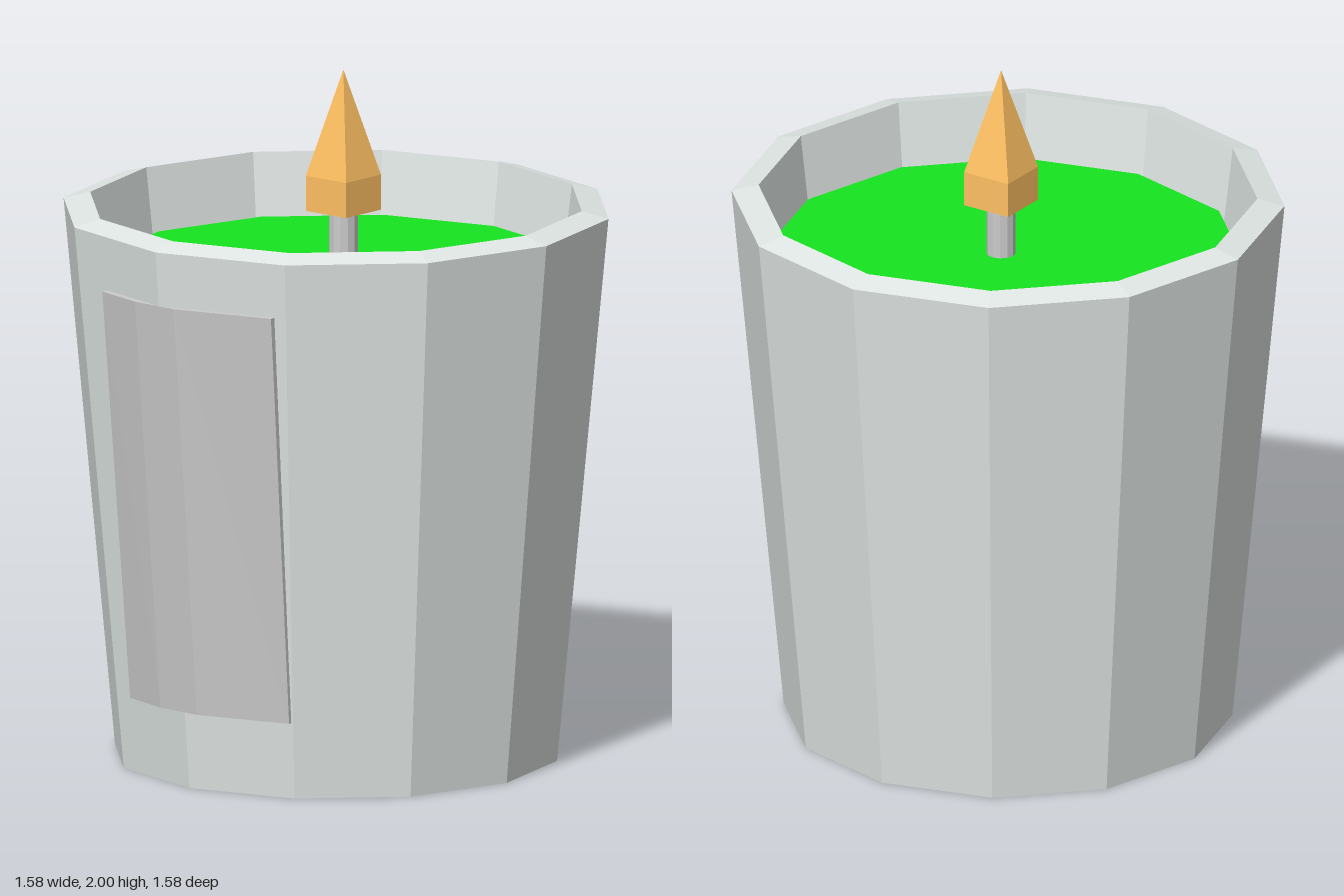
import * as THREE from 'three';

const TURN = -6.5 * Math.PI / 180; // shared twist of all faceted parts

function addPart(group, name, geometry, color, side = THREE.FrontSide) {
  const flat = geometry.index ? geometry.toNonIndexed() : geometry;
  flat.computeVertexNormals();
  const material = new THREE.MeshStandardMaterial({ color, side, flatShading: true });
  const mesh = new THREE.Mesh(flat, material);
  mesh.name = name;
  group.add(mesh);
  return mesh;
}

// Faceted solid of revolution from [radius, height] pairs, listed bottom to top
function turned(profile, sides, start) {
  const points = profile.map(([r, y]) => new THREE.Vector2(r, y));
  return new THREE.LatheGeometry(points, sides, start, Math.PI * 2);
}

// Label wrapped on the front of the cup, leaning with its tapered wall
function labelGeometry() {
  const bottom = 0.225, top = 1.435;
  const outer = [[-0.335, 0.70], [-0.18, 0.762], [-0.03, 0.785], [0.275, 0.738]];
  const inner = outer.map(([x, z]) => [x, z - 0.035]).reverse();
  const shape = new THREE.Shape([...outer, ...inner].map(([x, z]) => new THREE.Vector2(x, -z)));
  const geometry = new THREE.ExtrudeGeometry(shape, { depth: top - bottom, bevelEnabled: false });
  geometry.rotateX(-Math.PI / 2);
  const p = geometry.attributes.position;
  for (let i = 0; i < p.count; i++) {
    const drop = 1 - p.getY(i) / (top - bottom);
    const x = p.getX(i);
    p.setXYZ(i, x * (1 - 0.055 * drop), p.getY(i) + bottom, p.getZ(i) - 0.115 * drop);
  }
  return geometry;
}

export function createModel() {
  const group = new THREE.Group();
  group.name = 'candle';

  // Tapered twelve-sided cup with a sloped rim and a hollow inside
  addPart(group, 'cup', turned([
    [0, 0], [0.645, 0], [0.795, 1.595], [0.717, 1.615], [0.665, 1.2], [0, 1.2],
  ], 12, TURN), 0xdfe6e4);

  // Wax filling
  const wax = addPart(group, 'wax', turned([
    [0, 1.21], [0.665, 1.21], [0.682, 1.43], [0, 1.43],
  ], 12, TURN), 0x16e51f);
  wax.position.set(0.003, 0, -0.012);

  addPart(group, 'label', labelGeometry(), 0xcccccc);

  // Wick and four-sided flame, slightly off centre
  const wick = addPart(group, 'wick', turned([
    [0, 1.4], [0.042, 1.4], [0.042, 1.62], [0, 1.62],
  ], 12, TURN), 0xcccccc);
  const flame = addPart(group, 'flame', turned([
    [0, 1.587], [0.108, 1.587], [0.108, 1.69], [0, 2],
  ], 4, Math.PI / 4 + TURN), 0xffc062);
  for (const part of [wick, flame]) part.position.set(0.012, 0, -0.02);

  return group;
}
